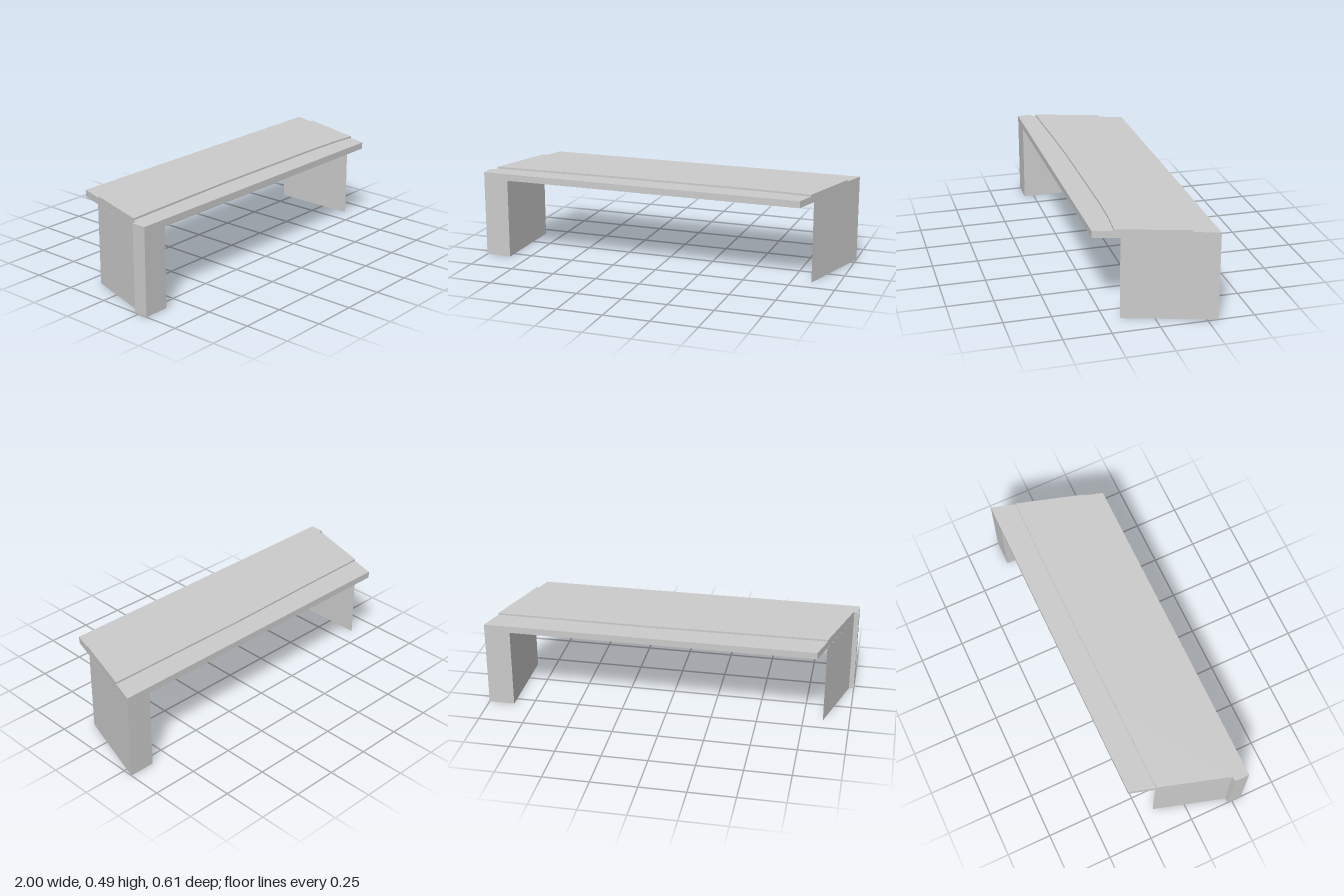
import * as THREE from 'three';

const material = new THREE.MeshStandardMaterial({ color: 0xcccccc, flatShading: true });

// Upright prism from a floor outline of [x, z] points, between heights y0 and y1
function prism(name, outline, y0, y1) {
  const shape = new THREE.Shape(outline.map(([x, z]) => new THREE.Vector2(x, -z)));
  const geometry = new THREE.ExtrudeGeometry(shape, { depth: y1 - y0, bevelEnabled: false });
  geometry.rotateX(-Math.PI / 2).translate(0, y0, 0);
  const mesh = new THREE.Mesh(geometry, material);
  mesh.name = name;
  return mesh;
}

export function createModel() {
  const group = new THREE.Group();
  group.name = 'slantedBench';

  const D = 0.306, under = 0.443, top = 0.48, inner = 0.857;
  // x of the slanted ends at depth z
  const endX = (z, side) => side * 0.9075 - z * (0.0925 / D);

  // Small square-cornered step at the front right corner, shared by slab and leg
  const corner = [[-1, D], [-1, 0.226], [-0.973, 0.22]];

  // Top slab
  group.add(prism('slab', [
    ...corner, [endX(-D, -1), -D], [1, -D], [endX(D, 1), D],
  ], under, top));

  // Raised centre panel with slightly wavering long edges
  group.add(prism('raisedPanel', [
    [endX(0.202, -1), 0.202], [-0.6, 0.19], [-0.25, 0.181], [0.5, 0.181], [0.7, 0.187],
    [endX(0.2, 1), 0.2], [endX(-0.172, 1), -0.172], [0.5, -0.174], [0.1, -0.177],
    [-0.4, -0.168], [endX(-0.163, -1), -0.163],
  ], top, 0.49));

  // Wedge-shaped legs: straight inside, slanted outside
  group.add(prism('rightLeg', [...corner, [-inner, -0.17], [-inner, D]], 0, under));
  group.add(prism('leftLeg', [[1, -D], [inner, 0.17], [inner, -D]], 0, under));

  return group;
}
